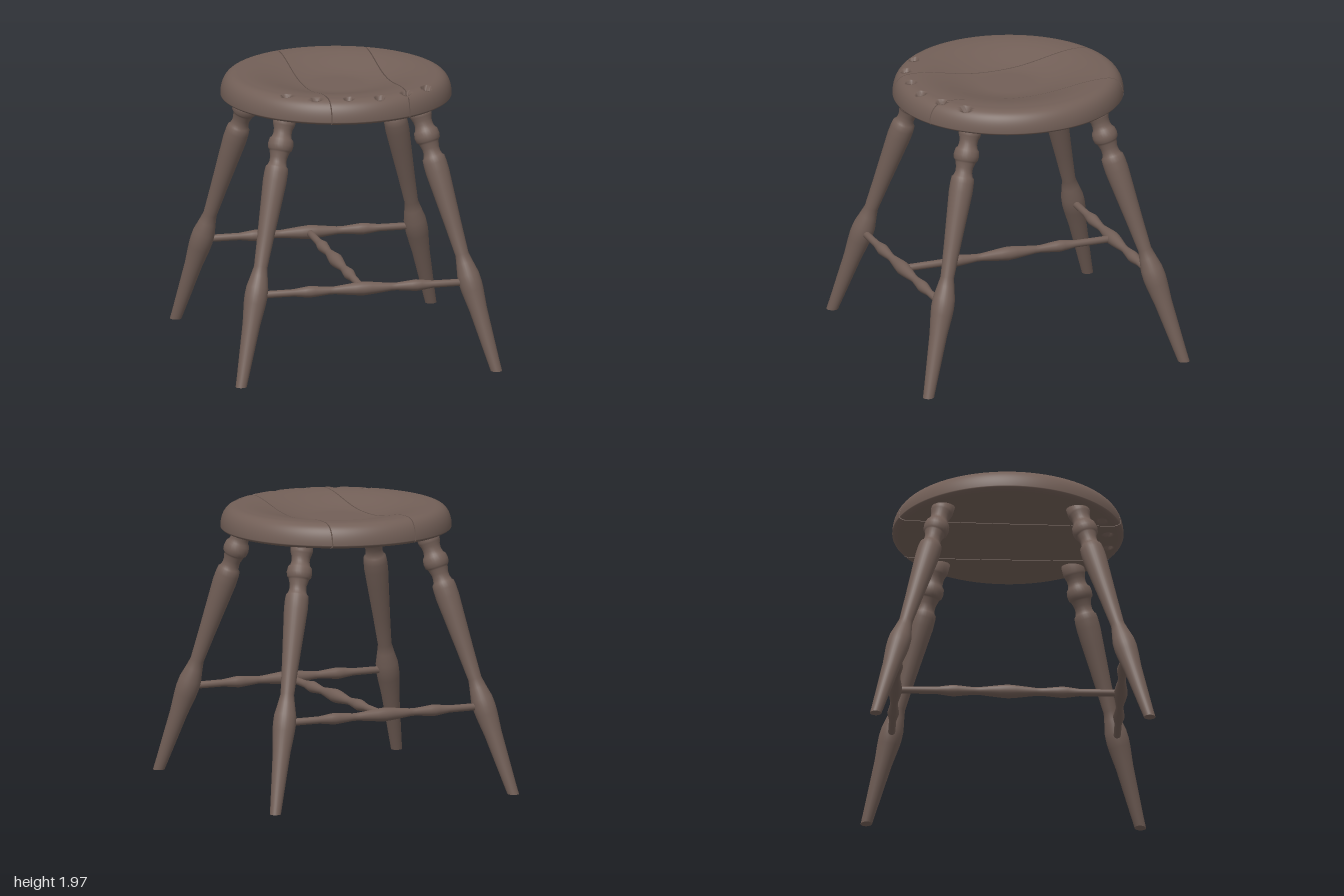
import * as THREE from 'three';
import { mergeGeometries } from 'three/addons/utils/BufferGeometryUtils.js';

const { smoothstep, lerp } = THREE.MathUtils;
const R = 0.81; // seat radius
const holes = [[-0.48, 0.52], [-0.3, 0.65], [-0.08, 0.7], [0.14, 0.71], [0.345, 0.635], [0.52, 0.52]];

// Surface from a function f(s, t) -> [x, y, z], with s and t in 0..1
function surface(ns, nt, f, flip) {
  const pos = [], index = [];
  for (let i = 0; i <= ns; i++) for (let j = 0; j <= nt; j++) pos.push(...f(i / ns, j / nt));
  for (let i = 0; i < ns; i++) for (let j = 0; j < nt; j++) {
    const a = i * (nt + 1) + j, b = a + 1, c = a + nt + 1, d = c + 1;
    if (flip) index.push(a, c, b, b, c, d);
    else index.push(a, b, c, b, d, c);
  }
  const g = new THREE.BufferGeometry();
  g.setAttribute('position', new THREE.Float32BufferAttribute(pos, 3));
  g.setIndex(index);
  g.computeVertexNormals();
  return g;
}

// Depth of the drilled holes at a point
function drill(x, z) {
  let d = 0;
  for (const [hx, hz] of holes) d = Math.max(d, 1 - smoothstep(Math.hypot(x - hx, z - hz), 0.022, 0.034));
  return d;
}

// Dished top with a rounded rim; w runs from 0 at the rim to 1 at the centre
function topY(x, z, w) {
  const rim = Math.sin(Math.min(1, w / 0.52) * Math.PI / 2);
  const dish = 1 - smoothstep(Math.hypot(x, z), 0.18, 0.66);
  return 1.825 + 0.147 * rim - 0.08 * dish - 0.05 * drill(x, z);
}

// Nearly flat underside with an eased edge
function bottomY(x, z, w) {
  return 1.825 - 0.022 * Math.min(1, w / 0.3) - 0.01 * w + 0.03 * drill(x, z);
}

// One seat plank between two cuts, each [x at z = 0, slant], or null at the rim
function plankGeometry(left, right) {
  const angle = (cut, side, sb) => cut ? Math.asin((cut[0] + cut[1] * sb) / R) : side * Math.PI / 2;
  const point = (u, v, height) => {
    const b = (v - 0.5) * Math.PI, sb = Math.sin(b);
    const a = lerp(angle(left, -1, sb), angle(right, 1, sb), u);
    const x = R * Math.sin(a), z = R * Math.cos(a) * sb;
    return [x, height(x, z, Math.cos(a) * Math.cos(b)), z];
  };
  const wall = (u) => (s, v) => {
    const p = point(u, v, bottomY), q = point(u, v, topY);
    return [p[0], lerp(p[1], q[1], s), p[2]];
  };
  const parts = [
    surface(48, 120, (u, v) => point(u, v, topY), false),
    surface(48, 120, (u, v) => point(u, v, bottomY), true),
  ];
  if (left) parts.push(surface(1, 120, wall(0), false));
  if (right) parts.push(surface(1, 120, wall(1), true));
  return mergeGeometries(parts);
}

function lathe(profile, sides) {
  return new THREE.LatheGeometry(profile.map(([r, y]) => new THREE.Vector2(r, y)), sides);
}

// Turned leg: [radius, height]
const legProfile = [
  [0, -0.04], [0.037, -0.04], [0.039, -0.038], [0.042, 0.06], [0.063, 0.42], [0.078, 0.55], [0.081, 0.6],
  [0.078, 0.66], [0.06, 0.74], [0.048, 0.8], [0.06, 1.01], [0.076, 1.25], [0.084, 1.37], [0.083, 1.43],
  [0.079, 1.465], [0.068, 1.475], [0.06, 1.5], [0.06, 1.53], [0.07, 1.565], [0.074, 1.575], [0.085, 1.585],
  [0.09, 1.615], [0.084, 1.65], [0.07, 1.665], [0.064, 1.69], [0.066, 1.72], [0.076, 1.745], [0.079, 1.76],
  [0.079, 1.84], [0, 1.84],
];
const LEAN_X = 0.243, LEAN_Z = 0.272;

function legGeometry(sx, sz) {
  const axis = new THREE.Vector3(-sx * LEAN_X, 1, -sz * LEAN_Z);
  const stretch = axis.length();
  const g = lathe(legProfile.map(([r, y]) => [r, y * stretch]), 28);
  g.applyQuaternion(new THREE.Quaternion().setFromUnitVectors(new THREE.Vector3(0, 1, 0), axis.normalize()));
  g.translate(sx * 0.92, 0, sz * 0.96);
  // Trim the foot level with the floor by sliding it along the leg
  const p = g.attributes.position;
  for (let i = 0; i < p.count; i++) {
    const y = p.getY(i);
    if (y < 0) p.setXYZ(i, p.getX(i) + sx * LEAN_X * y, 0, p.getZ(i) + sz * LEAN_Z * y);
  }
  return g;
}

// Turned stretcher with a middle swelling and two side swellings
function stretcherGeometry(halfLength) {
  const half = [[0.049, 0], [0.044, 0.06], [0.028, 0.2], [0.027, 0.24], [0.038, 0.35], [0.041, 0.385],
    [0.037, 0.42], [0.026, 0.5], [0.025, halfLength]];
  const lower = half.slice(1).reverse().map(([r, y]) => [r, -y]);
  return lathe([[0, -halfLength], ...lower, ...half, [0, halfLength]], 20);
}

export function createModel() {
  const group = new THREE.Group();
  const wood = new THREE.MeshStandardMaterial({ color: 0x725f57 });
  wood.name = 'brown wood';
  const add = (name, geometry, parent = group) => {
    const mesh = new THREE.Mesh(geometry, wood);
    mesh.name = name;
    parent.add(mesh);
    return mesh;
  };

  // Seat of three planks with narrow open joints, tipped very slightly forward
  const seat = new THREE.Group();
  seat.name = 'seat';
  seat.rotation.x = 0.004;
  seat.position.z = -0.008;
  group.add(seat);
  const gap = 0.004;
  add('rightPlank', plankGeometry(null, [-0.237 - gap, 0.017]), seat);
  add('middlePlank', plankGeometry([-0.237 + gap, 0.017], [0.36 - gap, -0.006]), seat);
  add('leftPlank', plankGeometry([0.36 + gap, -0.006], null), seat);

  // Splayed legs
  for (const sx of [-1, 1]) for (const sz of [-1, 1]) {
    add((sz > 0 ? 'front' : 'back') + (sx > 0 ? 'Left' : 'Right') + 'Leg', legGeometry(sx, sz));
  }

  // Front and back stretchers joined by a middle one
  for (const sz of [-1, 1]) {
    const bar = add(sz > 0 ? 'frontStretcher' : 'backStretcher', stretcherGeometry(0.75));
    bar.rotation.z = Math.PI / 2;
    bar.position.set(0, 0.61, sz * 0.79);
  }
  const middle = add('middleStretcher', stretcherGeometry(0.78));
  middle.rotation.x = Math.PI / 2;
  middle.position.y = 0.61;

  return group;
}
